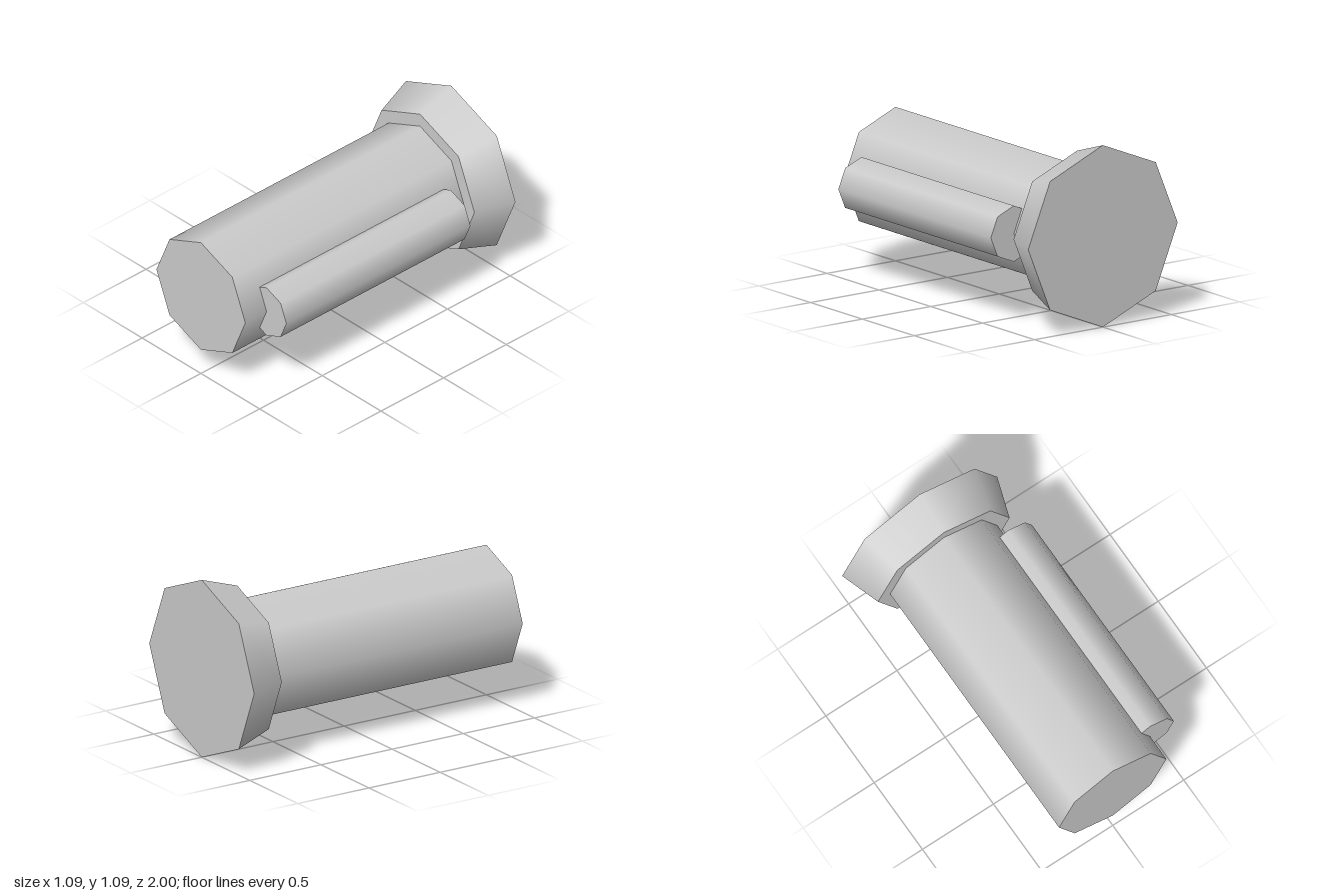
import * as THREE from 'three';

const AXIS_Y = 0.547;

export function createModel() {
  const group = new THREE.Group();
  const grey = new THREE.MeshStandardMaterial({ color: 0xcccccc });
  grey.name = 'light grey';

  // Smooth-shaded eight-sided cylinder lying along z
  function addTube(name, frontRadius, backRadius, zBack, zFront, x = 0) {
    const geometry = new THREE.CylinderGeometry(frontRadius, backRadius, zFront - zBack, 8);
    geometry.rotateX(Math.PI / 2);
    const mesh = new THREE.Mesh(geometry, grey);
    mesh.name = name;
    mesh.position.set(x, AXIS_Y, (zFront + zBack) / 2);
    group.add(mesh);
  }

  addTube('mainBarrel', 0.378, 0.378, -0.76, 1);
  addTube('flaredBase', 0.463, 0.546, -1, -0.75);
  addTube('sideTube', 0.168, 0.168, -0.64, 0.83, 0.378);

  return group;
}
